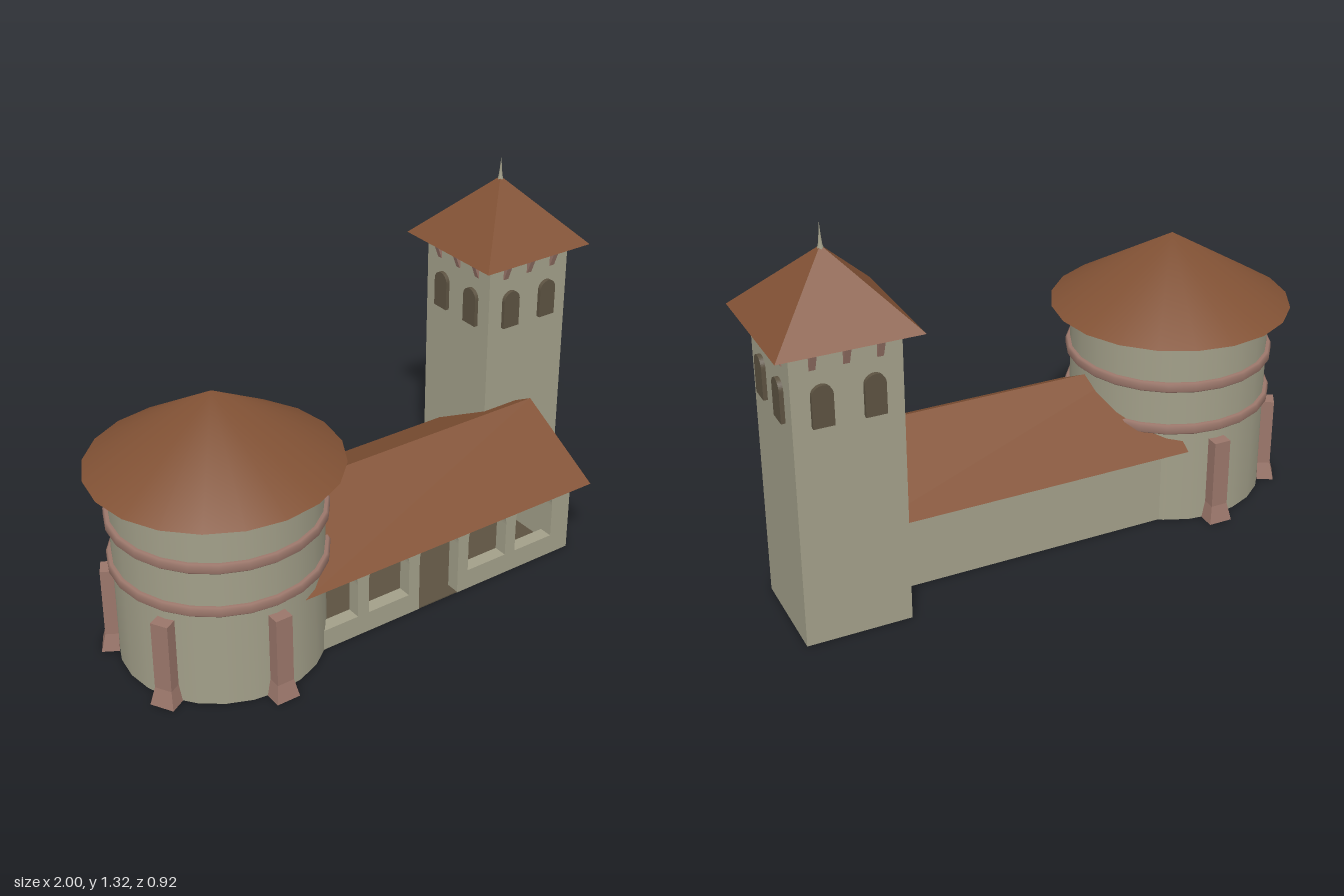
import * as THREE from 'three';
import { mergeVertices } from 'three/addons/utils/BufferGeometryUtils.js';

const mat = (name, color, side = THREE.FrontSide) => {
  const m = new THREE.MeshStandardMaterial({ color, side });
  m.name = name;
  return m;
};

export function createModel() {
  const stone = mat('stone', 0xa29f89, THREE.DoubleSide);
  const tile = mat('roofTile', 0x825235);
  const trim = mat('trim', 0x9a766a);
  const dark = mat('darkBrown', 0x5c5241);
  const model = new THREE.Group();

  const add = (parent, name, geometry, material, x = 0, y = 0, z = 0) => {
    const mesh = new THREE.Mesh(geometry, material);
    mesh.name = name;
    mesh.position.set(x, y, z);
    parent.add(mesh);
    return mesh;
  };
  const group = (parent, name, x = 0, y = 0, z = 0) => {
    const g = new THREE.Group();
    g.name = name;
    g.position.set(x, y, z);
    parent.add(g);
    return g;
  };
  const faceted = (geometry) => {
    const g = geometry.toNonIndexed();
    g.computeVertexNormals();
    return g;
  };
  const polygon = (pts) => new THREE.Shape(pts.map(([x, y]) => new THREE.Vector2(x, y)));
  const extrude = (shape, depth) =>
    new THREE.ExtrudeGeometry(shape, { depth, bevelEnabled: false, curveSegments: 12 });
  // Box given by its limits
  const block = (parent, name, material, x0, x1, y0, y1, z0, z1) =>
    add(parent, name, new THREE.BoxGeometry(x1 - x0, y1 - y0, z1 - z0), material,
      (x0 + x1) / 2, (y0 + y1) / 2, (z0 + z1) / 2);
  // Round-headed opening outline, added to a path
  const archPath = (path, cx, bottom, spring, r) => {
    path.moveTo(cx - r, bottom);
    path.lineTo(cx + r, bottom);
    path.lineTo(cx + r, spring);
    path.absarc(cx, spring, r, 0, Math.PI, false);
    path.lineTo(cx - r, bottom);
    return path;
  };

  // ---- Round tower ----
  const round = group(model, 'roundTower', -0.585, 0, 0.045);
  add(round, 'roundWall', new THREE.CylinderGeometry(0.345, 0.345, 0.7, 24, 1, true), stone, 0, 0.35, 0);
  // Cone with one shared apex, so the shading stays soft across the top
  let cone = new THREE.ConeGeometry(0.417, 0.251, 20, 1, true);
  cone.deleteAttribute('uv');
  cone.deleteAttribute('normal');
  cone = mergeVertices(cone);
  cone.computeVertexNormals();
  add(round, 'roundRoof', cone, tile, 0, 0.8145, 0);
  const soffit = new THREE.CircleGeometry(0.417, 20, Math.PI / 2);
  soffit.rotateX(Math.PI / 2);
  add(round, 'roundSoffit', soffit, tile, 0, 0.689, 0);

  const bandProfile = [[0.34, -0.017], [0.355, -0.017], [0.361, -0.011], [0.361, 0.011], [0.355, 0.017], [0.34, 0.017]]
    .map(([r, y]) => new THREE.Vector2(r, y));
  for (const y of [0.362, 0.521]) add(round, 'band', new THREE.LatheGeometry(bandProfile, 24), trim, 0, y, 0);

  // Buttresses, flared at the foot
  const buttress = new THREE.BoxGeometry(0.06, 0.31, 0.044, 1, 5, 1);
  buttress.translate(0, 0.155, 0.363);
  const bp = buttress.attributes.position;
  for (let i = 0; i < bp.count; i++) {
    if (bp.getY(i) < 0.01) {
      bp.setX(i, bp.getX(i) * 1.4);
      if (bp.getZ(i) > 0.36) bp.setZ(i, 0.4);
    }
  }
  const buttressGeo = faceted(buttress);
  for (const a of [0, -60, -120, -180]) {
    add(round, 'buttress', buttressGeo, trim).rotation.y = THREE.MathUtils.degToRad(a);
  }

  // ---- Hollow hall with arcade ----
  const hall = group(model, 'hall');
  const right = 0.708;
  block(hall, 'hallFloor', dark, -0.41, right - 0.002, 0, 0.004, -0.243, 0.293);
  block(hall, 'backWall', stone, -0.42, right, 0.001, 0.292, -0.245, -0.205);
  block(hall, 'endWall', stone, right - 0.04, right, 0.001, 0.292, -0.205, 0.245);

  const r = 0.083, spring = 0.204, door = 0.125, base = 0.001;
  const front = new THREE.Shape();
  front.moveTo(-0.41, base);
  front.lineTo(door - r, base);
  front.lineTo(door - r, spring);
  front.absarc(door, spring, r, Math.PI, 0, true);
  front.lineTo(door + r, base);
  front.lineTo(right, base);
  front.lineTo(right, 0.292);
  front.lineTo(-0.41, 0.292);
  for (const cx of [-0.295, -0.085, 0.335, 0.545]) {
    front.holes.push(archPath(new THREE.Path(), cx, 0.077, spring, r));
  }
  add(hall, 'arcadeWall', extrude(front, 0.05), stone, 0, 0, 0.245);

  // Gable body and tiled roof, extruded along x
  const alongX = (name, pts, x0, x1, material) => {
    const g = extrude(polygon(pts), x1 - x0);
    g.rotateY(Math.PI / 2);
    add(hall, name, g, material, x0, 0, 0.025);
  };
  alongX('gable', [[-0.324, 0.291], [0.324, 0.291], [0, 0.476]], -0.46, right - 0.004, stone);
  alongX('hallRoof', [[-0.34, 0.29], [-0.322, 0.29], [0, 0.473], [0.322, 0.29], [0.34, 0.29], [0, 0.48]],
    -0.465, 0.738, tile);

  // ---- Square tower ----
  const square = group(model, 'squareTower', 0.7685, 0, -0.23);
  const half = 0.1755;
  const shaft = new THREE.CylinderGeometry(half * Math.SQRT2, half * Math.SQRT2, 1.01, 4, 1, true);
  shaft.rotateY(Math.PI / 4);
  add(square, 'squareWall', faceted(shaft), stone, 0, 0.505, 0);
  const pyramid = new THREE.ConeGeometry(0.23 * Math.SQRT2, 0.235, 4);
  pyramid.rotateY(Math.PI / 4);
  add(square, 'squareRoof', faceted(pyramid), tile, 0, 1.1255, 0);
  const spire = [[0.014, 1.22], [0.007, 1.245], [0.004, 1.27], [0, 1.315]].map(([a, b]) => new THREE.Vector2(a, b));
  add(square, 'spire', new THREE.LatheGeometry(spire, 8), stone);

  // Arched windows and eave brackets, repeated on four sides
  const windowGeo = extrude(archPath(new THREE.Shape(), 0, 0.755, 0.858, 0.034), 0.02);
  const bracketGeo = extrude(polygon([[0, 0.94], [0.004, 0.94], [0.03, 1.009], [0, 1.009]]), 0.02);
  bracketGeo.translate(0, 0, -0.01);
  bracketGeo.rotateY(-Math.PI / 2);
  for (let i = 0; i < 4; i++) {
    const side = group(square, 'towerSide');
    side.rotation.y = i * Math.PI / 2;
    for (const x of [-0.082, 0.082]) add(side, 'window', windowGeo, dark, x, 0, half - 0.006);
    for (const x of [-0.105, 0, 0.105]) add(side, 'bracket', bracketGeo, trim, x, 0, half - 0.002);
  }
  return model;
}
